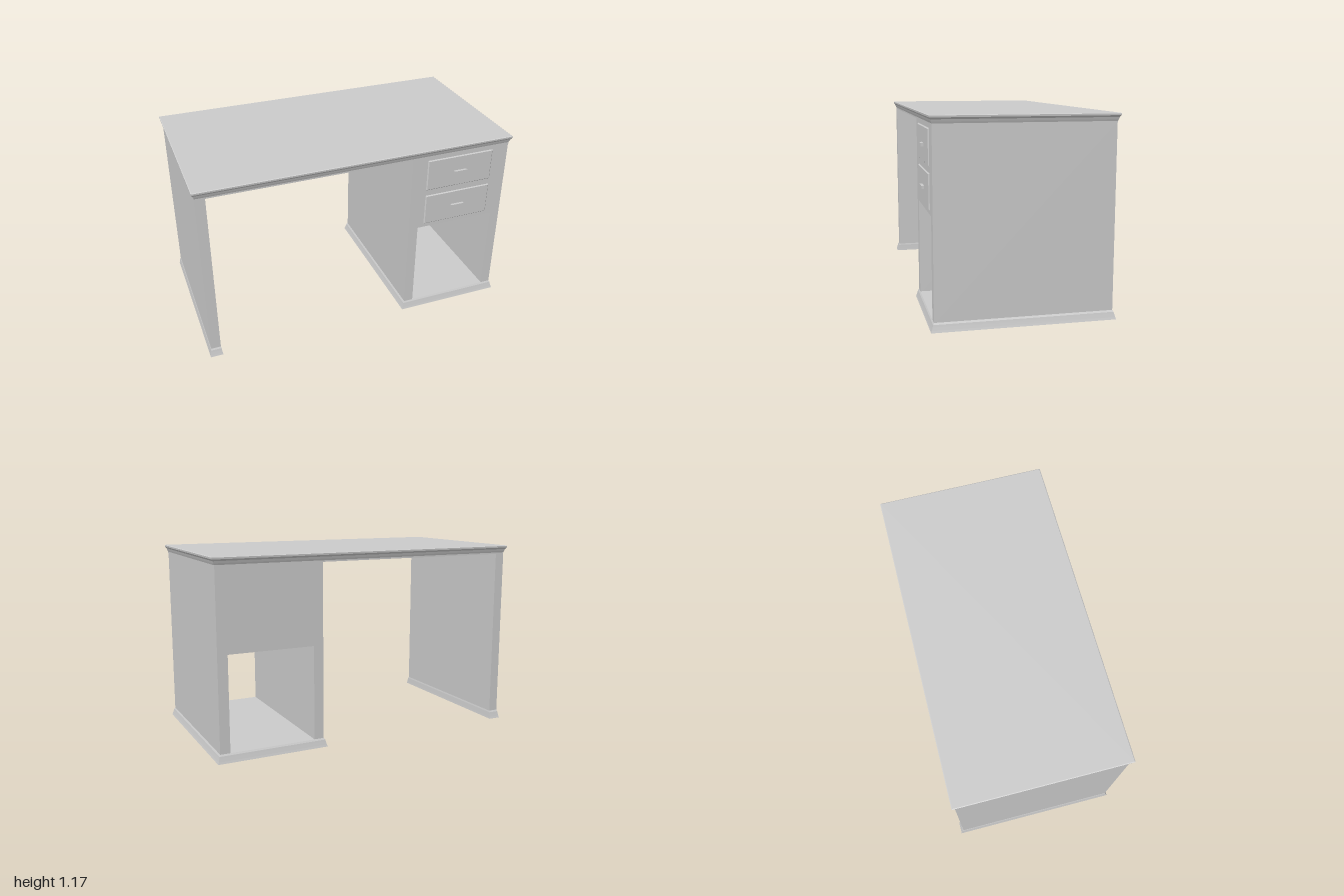
import * as THREE from 'three';

const material = new THREE.MeshStandardMaterial({ color: 0xcccccc, flatShading: true });

// Skin over rectangles [y, x0, x1, z0, z1], listed from the top down, closed at both ends.
function loft(sections) {
  const pos = [];
  const index = [];
  for (const [y, x0, x1, z0, z1] of sections) {
    pos.push(x0, y, z1, x1, y, z1, x1, y, z0, x0, y, z0);
  }
  for (let s = 0; s < sections.length - 1; s++) {
    for (let i = 0; i < 4; i++) {
      const j = (i + 1) % 4;
      const a = s * 4;
      const b = a + 4;
      index.push(a + i, b + i, b + j, a + i, b + j, a + j);
    }
  }
  const e = (sections.length - 1) * 4;
  index.push(0, 1, 2, 0, 2, 3, e, e + 2, e + 1, e, e + 3, e + 2);
  const indexed = new THREE.BufferGeometry();
  indexed.setAttribute('position', new THREE.Float32BufferAttribute(pos, 3));
  indexed.setIndex(index);
  const geometry = indexed.toNonIndexed();
  geometry.computeVertexNormals();
  return geometry;
}

// Moulded sections: each profile point is [y, outward offset] from a base rectangle.
function moulding(profile, x0, x1, depth) {
  return profile.map(([y, o]) => [y, x0 - o, x1 + o, -depth - o, depth + o]);
}

export function createModel() {
  const desk = new THREE.Group();
  desk.name = 'desk';
  const D = 0.512;

  const add = (name, geometry) => {
    const mesh = new THREE.Mesh(geometry, material);
    mesh.name = name;
    desk.add(mesh);
    return mesh;
  };
  const box = (name, x0, x1, y0, y1, z0 = -D, z1 = D) => {
    const mesh = add(name, new THREE.BoxGeometry(x1 - x0, y1 - y0, z1 - z0));
    mesh.position.set((x0 + x1) / 2, (y0 + y1) / 2, (z0 + z1) / 2);
    return mesh;
  };

  // Desk top with a moulded edge
  const topProfile = [
    [1.171, 0.011], [1.168, 0.016], [1.158, 0.015], [1.148, 0.008], [1.136, 0.004], [1.126, 0], [1.117, 0],
  ];
  add('deskTop', loft(moulding(topProfile, -0.98, 0.98, D)));

  // Upright panels
  box('rightLegPanel', -0.98, -0.92, 0.04, 1.12);
  box('cabinetInnerPanel', 0.33, 0.39, 0.04, 1.12);
  box('cabinetOuterPanel', 0.917, 0.978, 0.04, 1.12);

  // Drawer block above the open compartment
  box('drawerBlock', 0.388, 0.919, 0.626, 1.12);

  // Flared feet
  const footProfile = [[0.052, 0], [0.042, 0.006], [0.03, 0.009], [0.012, 0.014], [0, 0.018]];
  const legFoot = footProfile.map(([y, o]) => [y, -0.98 - o * 0.6, -0.92 + o * 0.4, -D - o, D + o]);
  add('rightLegFoot', loft(legFoot));

  // Cabinet plinth: its top is the compartment floor, its underside is recessed
  const plinth = moulding(footProfile, 0.328, 0.978, D);
  plinth.push([0, 0.345, 0.96, -0.48, 0.48], [0.03, 0.345, 0.96, -0.48, 0.48]);
  add('cabinetPlinth', loft(plinth));

  // Bevelled drawer fronts with small bar handles
  [[0.887, 1.1, 0.99], [0.645, 0.857, 0.75]].forEach(([y0, y1, handleY], i) => {
    const front = add(`drawerFront${i + 1}`, loft([
      [D + 0.006, 0.435, 0.866, -y1 + 0.01, -y0 - 0.01],
      [D - 0.004, 0.425, 0.876, -y1, -y0],
    ]));
    front.rotation.x = Math.PI / 2;
    box(`drawerHandle${i + 1}`, 0.607, 0.693, handleY - 0.009, handleY + 0.009, D, 0.534);
  });

  return desk;
}
